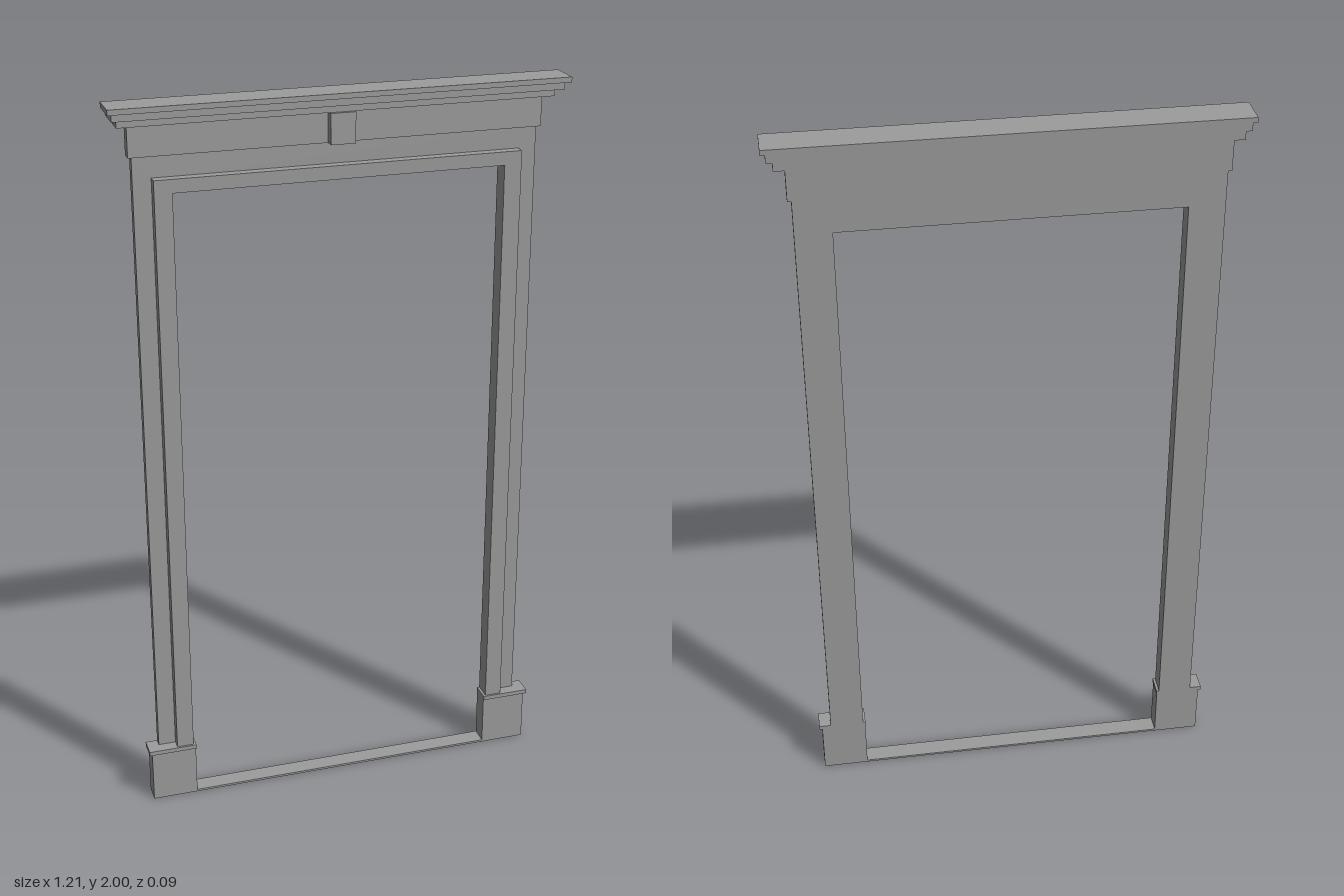
import * as THREE from 'three';

const BACK = -0.046;

export function createModel() {
  const group = new THREE.Group();
  const grey = new THREE.MeshStandardMaterial({ color: 0x9c9c9c });
  grey.name = 'stone grey';

  function add(name, geometry) {
    const mesh = new THREE.Mesh(geometry, grey);
    mesh.name = name;
    group.add(mesh);
  }

  // Box given by its extents on each axis
  function box(name, x0, x1, y0, y1, z0, z1) {
    const g = new THREE.BoxGeometry(x1 - x0, y1 - y0, z1 - z0);
    g.translate((x0 + x1) / 2, (y0 + y1) / 2, (z0 + z1) / 2);
    add(name, g);
  }

  // Upside-down U: two jambs joined by a head
  function surround(name, outer, top, inner, innerTop, bottom, front) {
    const shape = new THREE.Shape([
      [-outer, bottom], [-inner, bottom], [-inner, innerTop], [inner, innerTop],
      [inner, bottom], [outer, bottom], [outer, top], [-outer, top],
    ].map(([x, y]) => new THREE.Vector2(x, y)));
    const g = new THREE.ExtrudeGeometry(shape, { depth: front - BACK, bevelEnabled: false });
    g.translate(0, 0, BACK);
    add(name, g);
  }

  surround('outerCasing', 0.538, 1.862, 0.49, 1.806, 0.16, -0.022);
  surround('innerTrim', 0.49, 1.806, 0.443, 1.77, 0.16, 0.005);

  // Plinth blocks with a thin projecting cap
  for (const [side, s] of [['left', 1], ['right', -1]]) {
    const span = (a, b) => (s > 0 ? [a, b] : [-b, -a]);
    box(side + 'Plinth', ...span(0.437, 0.563), 0, 0.148, BACK, 0.005);
    box(side + 'PlinthCap', ...span(0.436, 0.571), 0.148, 0.16, BACK, 0.011);
  }

  box('threshold', -0.437, 0.437, 0, 0.006, BACK, 0.005);

  // Frieze and its centre block
  box('frieze', -0.548, 0.548, 1.862, 1.943, BACK, -0.014);
  box('centreBlock', -0.033, 0.033, 1.862, 1.943, -0.014, 0.012);

  // Stepped cornice: half width, bottom, top, front
  [
    [0.576, 1.943, 1.965, 0.003],
    [0.592, 1.965, 1.986, 0.03],
    [0.604, 1.986, 2.0, 0.046],
  ].forEach(([w, y0, y1, z], i) => box('corniceStep' + (i + 1), -w, w, y0, y1, BACK, z));

  return group;
}
